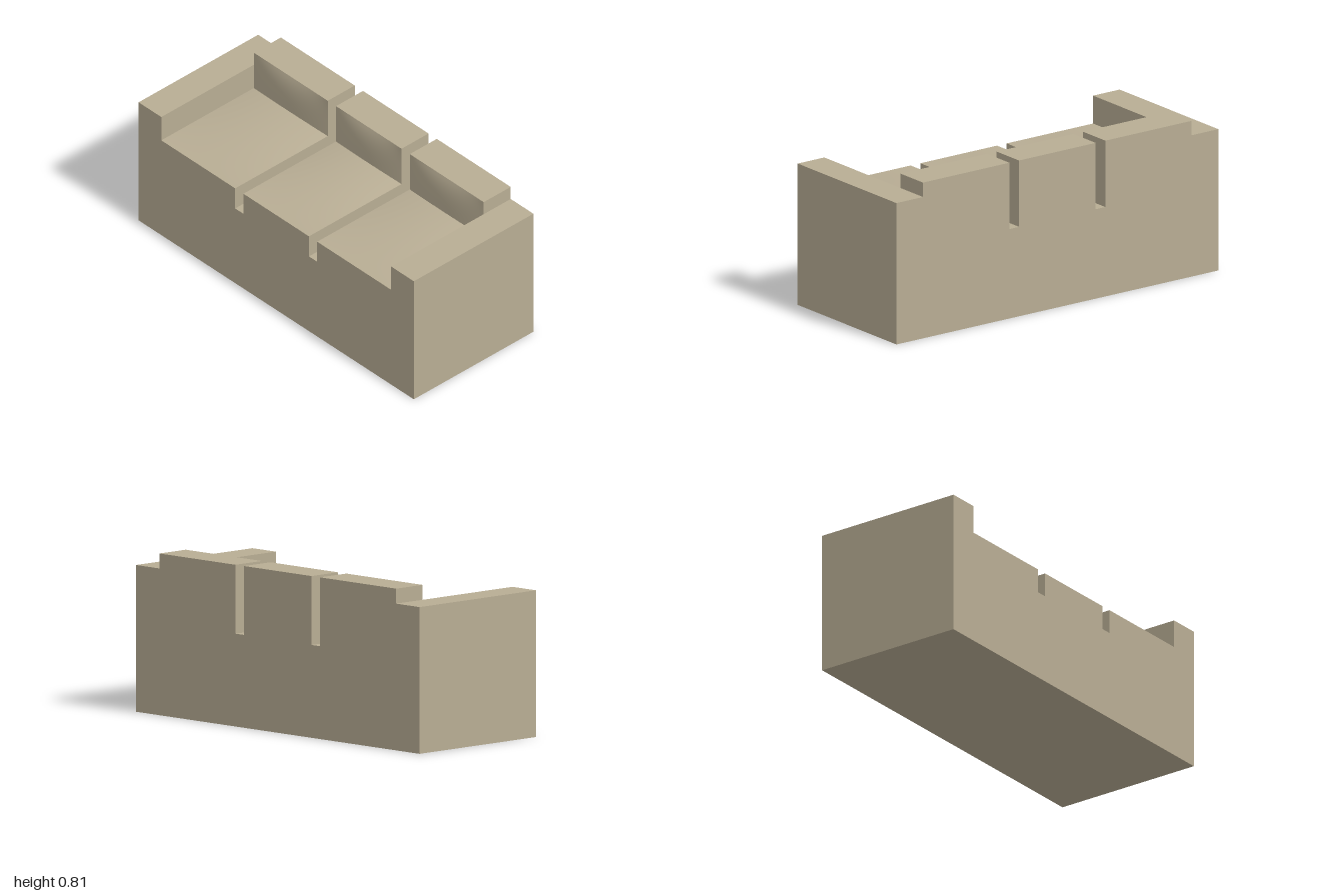
import * as THREE from 'three';

const HALF_DEPTH = 0.405, SLOT_Y = 0.465, SEAT_Y = 0.59, ARM_Y = 0.735, TOP_Y = 0.81;
const BACK_Z = -0.222, ARM_X = 0.835, BULGE = 0.023;

// Box spanning two corners, with segments for bulging
function box(x0, x1, y0, y1, z0, z1, sx, sy, sz) {
  const g = new THREE.BoxGeometry(x1 - x0, y1 - y0, z1 - z0, sx, sy, sz);
  return g.translate((x0 + x1) / 2, (y0 + y1) / 2, (z0 + z1) / 2);
}

export function createModel() {
  const group = new THREE.Group();
  const material = new THREE.MeshStandardMaterial({ color: 0xb8ad94 });
  const add = (name, geometry) => {
    const mesh = new THREE.Mesh(geometry, material);
    mesh.name = name;
    group.add(mesh);
  };

  // Base and both arms as one U-shaped block
  const outline = new THREE.Shape([
    [-1, 0], [1, 0], [1, ARM_Y], [ARM_X, ARM_Y], [ARM_X, SLOT_Y],
    [-ARM_X, SLOT_Y], [-ARM_X, ARM_Y], [-1, ARM_Y],
  ].map(([x, y]) => new THREE.Vector2(x, y)));
  const base = new THREE.ExtrudeGeometry(outline, { depth: HALF_DEPTH * 2, bevelEnabled: false });
  add('baseAndArms', base.translate(0, 0, -HALF_DEPTH));

  // Three cushions separated by narrow slots
  const spans = [['right', -ARM_X, -0.298], ['middle', -0.238, 0.238], ['left', 0.298, ARM_X]];
  for (const [side, x0, x1] of spans) {
    const arch = (x) => 1 - ((2 * x - x0 - x1) / (x1 - x0)) ** 2;

    // Seat: straight front edge, crowned towards the backrest
    const seat = box(x0, x1, SLOT_Y, SEAT_Y, -HALF_DEPTH, HALF_DEPTH, 24, 1, 24);
    const p = seat.attributes.position;
    for (let i = 0; i < p.count; i++) {
      if (p.getY(i) < SEAT_Y - 1e-4) continue;
      const t = Math.min(1, (HALF_DEPTH - p.getZ(i)) / (HALF_DEPTH - BACK_Z));
      const behind = p.getZ(i) < BACK_Z - 0.05 ? 0 : 1;
      p.setY(i, SEAT_Y + behind * BULGE * arch(p.getX(i)) * Math.sin(t * Math.PI / 2));
    }
    seat.computeVertexNormals();
    add(side + 'Seat', seat);

    // Backrest: straight top edge, front face swelling below it
    const back = box(x0, x1, SEAT_Y, TOP_Y, -HALF_DEPTH, BACK_Z, 24, 16, 1);
    const q = back.attributes.position;
    for (let i = 0; i < q.count; i++) {
      if (q.getZ(i) < BACK_Z - 1e-4) continue;
      const t = (TOP_Y - q.getY(i)) / (TOP_Y - SEAT_Y);
      q.setZ(i, BACK_Z + BULGE * arch(q.getX(i)) * (1 - (1 - t) ** 4));
    }
    back.computeVertexNormals();
    add(side + 'Backrest', back);
  }
  return group;
}
